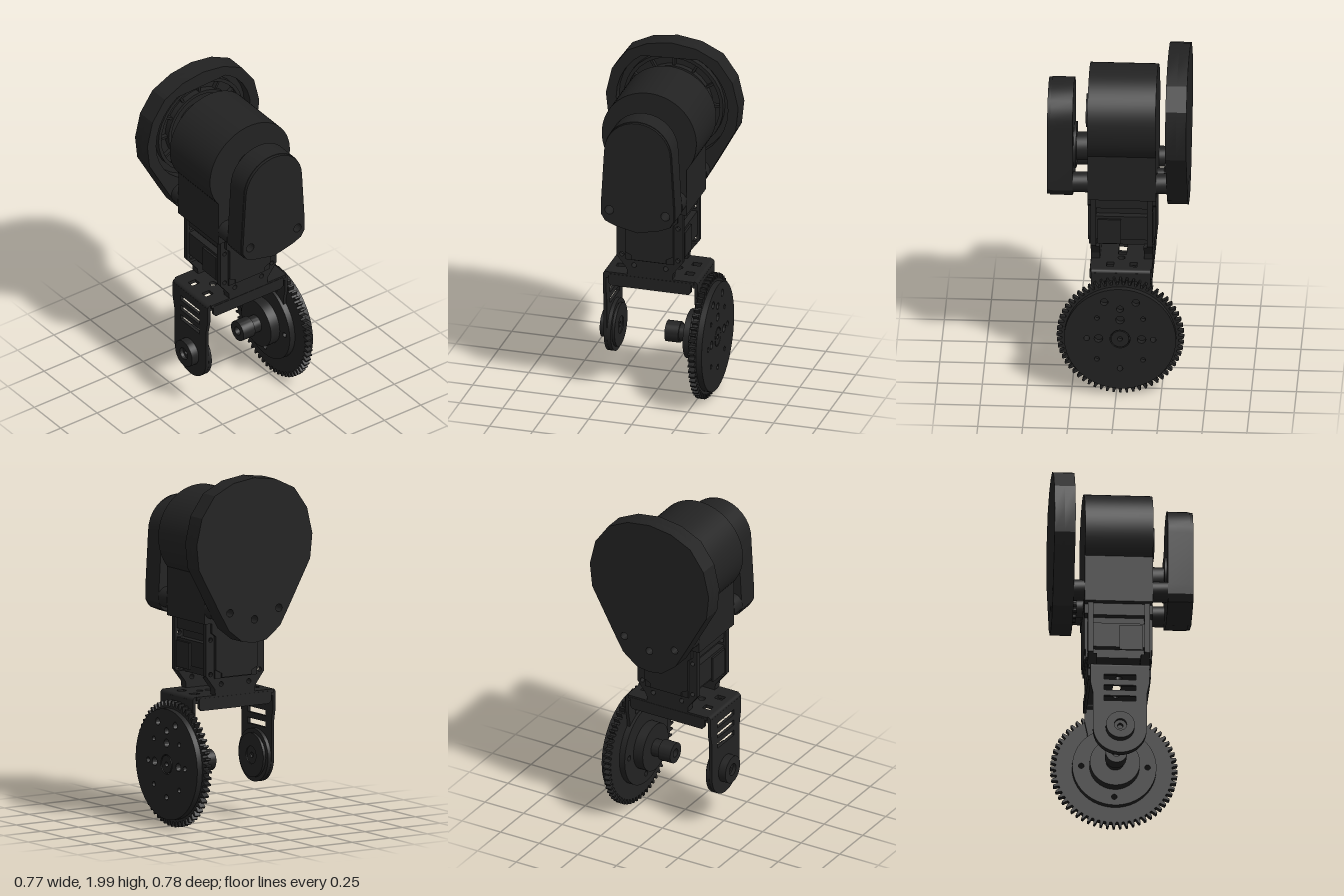
import * as THREE from 'three';
import { toCreasedNormals } from 'three/addons/utils/BufferGeometryUtils.js';

const material = new THREE.MeshStandardMaterial({ color: 0x222222 });

// Points along an arc
function arc(cx, cy, r, a0, a1, n) {
  return Array.from({ length: n + 1 }, (_, i) => {
    const a = a0 + ((a1 - a0) * i) / n;
    return [cx + r * Math.cos(a), cy + r * Math.sin(a)];
  });
}
const circle = (cx, cy, r, n = 32) => arc(cx, cy, r, 0, Math.PI * 2 * (1 - 1 / n), n - 1);
const rect = (x0, y0, x1, y1) => [[x0, y0], [x1, y0], [x1, y1], [x0, y1]];
// Right half of an outline, mirrored to the left
const mirrored = (pts) => [...pts, ...pts.slice().reverse().map(([x, y]) => [-x, y])];

export function createModel() {
  const model = new THREE.Group();
  const vec = (pts) => pts.map(([x, y]) => new THREE.Vector2(x, y));

  // Extrudes an outline with holes between two positions on an axis.
  // Outlines are (x, y) for axis z, (-z, y) for axis x and (x, -z) for axis y.
  function slab(name, outline, from, to, axis = 'z', holes = [], parent = model) {
    const shape = new THREE.Shape(vec(outline));
    holes.forEach((h) => shape.holes.push(new THREE.Path(vec(h))));
    const geo = new THREE.ExtrudeGeometry(shape, { depth: to - from, bevelEnabled: false });
    geo.translate(0, 0, from);
    if (axis === 'x') geo.rotateY(Math.PI / 2);
    if (axis === 'y') geo.rotateX(-Math.PI / 2);
    const mesh = new THREE.Mesh(toCreasedNormals(geo, 0.36), material);
    mesh.name = name;
    parent.add(mesh);
    return mesh;
  }
  const box = (name, x0, x1, y0, y1, z0, z1) => slab(name, rect(x0, y0, x1, y1), z0, z1);

  const sides = [-1, 1];
  const boltY = 1.25;
  const boltHoles = (r) => sides.map((s) => circle(s * 0.163, boltY, r, 16));

  // Main housing: round top on a narrower block
  const a = Math.asin(-0.17 / 0.275);
  slab('housing', [[-0.217, 1.165], [0.217, 1.165], ...arc(0, 1.61, 0.275, a, Math.PI - a, 48)],
    -0.215, 0.165, 'z', boltHoles(0.018));
  slab('housingBoss', circle(0, 1.615, 0.095), 0.165, 0.182);

  // Front cover
  const coverOutline = mirrored([[0, 1.125], [0.13, 1.155], [0.19, 1.18], [0.215, 1.22], [0.215, 1.28],
    ...arc(0, 1.605, 0.196, 0, Math.PI / 2, 8)].slice(1));
  coverOutline.push([0, 1.125]);
  slab('frontCover', coverOutline, 0.25, 0.375, 'z', boltHoles(0.026));
  slab('frontCoverFace', coverOutline.map(([x, y]) => [x * 0.985, 1.46 + (y - 1.46) * 0.99]),
    0.375, 0.392, 'z', boltHoles(0.026));
  slab('frontShaft', circle(0, 1.39, 0.08), 0.165, 0.25);
  slab('frontBearing', circle(0, 1.4, 0.13), 0.235, 0.25);

  // Hollow posts joining the covers to the housing
  sides.forEach((s) => {
    [[0.165, 0.25], [-0.275, -0.215]].forEach(([z0, z1]) =>
      slab('coverPost', circle(s * 0.163, boltY, 0.058), z0, z1, 'z', [circle(s * 0.163, boltY, 0.018, 16)]));
  });

  // Rear cover: faceted pear-shaped cup, open towards the housing
  const pear = [[0, 2], ...mirrored([[0.14, 1.98], [0.265, 1.92], [0.35, 1.8], [0.385, 1.65], [0.37, 1.51],
    [0.23, 1.255], [0.17, 1.15], [0.08, 1.08]])];
  pear.splice(9, 0, [0, 1.068]);
  const rearHoles = [...boltHoles(0.022), circle(0, 1.2, 0.022, 16)];
  slab('rearCoverBack', pear, -0.392, -0.335, 'z', rearHoles);
  slab('rearCoverRim', pear, -0.335, -0.275, 'z', [...rearHoles, circle(0, 1.63, 0.325, 32)]);
  [0.29, 0.22, 0.13].forEach((r) =>
    slab('rearCoverRing', circle(0, 1.63, r, 32), -0.335, -0.3, 'z', [circle(0, 1.63, r - 0.02, 32)]));
  for (let i = 0; i < 12; i++) {
    const t = (i * Math.PI) / 6, rib = new THREE.Mesh(new THREE.BoxGeometry(0.07, 0.014, 0.025), material);
    rib.name = 'rearCoverRib';
    rib.position.set(0.245 * Math.cos(t), 1.63 + 0.245 * Math.sin(t), -0.323);
    rib.rotation.z = t;
    model.add(rib);
  }
  const knurl = Array.from({ length: 48 }, (_, i) => {
    const t = (i * Math.PI) / 24, r = i % 4 < 2 ? 0.08 : 0.068;
    return [r * Math.cos(t), 1.21 + r * Math.sin(t)];
  });
  slab('rearPinion', knurl, -0.275, -0.252);
  slab('rearPinionShaft', circle(0, 1.21, 0.05), -0.252, -0.2);

  // Lower motor: core, drilled flanges, side pads and raised panels
  box('motorCore', -0.14, 0.14, 0.85, 1.17, -0.205, 0.16);
  const screwHoles = [];
  sides.forEach((s) => [1.07, 0.875].forEach((y) => screwHoles.push(circle(s * 0.163, y, 0.013, 14))));
  const flange = mirrored([[0.193, 1.17], [0.193, 0.865], [0.175, 0.845]]);
  [[0.12, 0.15], [-0.195, -0.165]].forEach(([z0, z1]) => slab('motorFlange', flange, z0, z1, 'z', screwHoles));
  const panel = mirrored([[0.165, 1.165], [0.165, 1.11], [0.14, 1.09], [0.14, 0.9], [0.1, 0.88], [0.1, 0.855]]);
  [[0.15, 0.168], [-0.213, -0.195]].forEach(([z0, z1]) =>
    slab('motorPanel', panel, z0, z1));
  sides.forEach((s) => {
    const pad = (name, x0, x1, y0, y1, z0, z1) => box(name, Math.min(s * x0, s * x1), Math.max(s * x0, s * x1), y0, y1, z0, z1);
    pad('motorSidePad', 0.13, 0.18, 0.9, 1.045, -0.165, 0.12);
    pad('motorUpperPad', 0.13, 0.18, 1.095, 1.17, -0.165, 0.12);
    pad('motorSocket', 0.18, 0.192, 0.88, 1.03, -0.02, 0.11);
  });

  // Feet that bolt the motor to the bracket
  const foot = mirrored([[0.185, 0.855], [0.135, 0.79], [0.13, 0.75]]);
  [[0.1, 0.15], [-0.195, -0.145]].forEach(([z0, z1]) =>
    slab('motorFoot', foot, z0, z1, 'z', sides.map((s) => circle(s * 0.092, 0.815, 0.014, 14))));

  // U bracket: slotted top, folded lips and two arms
  const topSlots = [];
  sides.forEach((s) => {
    topSlots.push(rect(s * 0.2 - 0.025, -0.06, s * 0.2 + 0.025, -0.02), rect(s * 0.2 - 0.025, 0.07, s * 0.2 + 0.025, 0.11));
  });
  topSlots.push(rect(-0.08, 0, 0.08, 0.045), circle(-0.12, 0.02, 0.02, 14), circle(0.12, 0.02, 0.02, 14));
  slab('bracketTop', rect(-0.255, -0.15, 0.255, 0.195), 0.735, 0.755, 'y', topSlots);
  const lip = mirrored([[0.24, 0.745], [0.24, 0.69], [0.225, 0.675]]);
  [[0.135, 0.152], [-0.197, -0.18]].forEach(([z0, z1]) => slab('bracketLip', lip, z0, z1));
  const cz = 0.022, hubY = 0.36; // hub centre, as (-z, y)
  const armOutline = [[cz + 0.165, 0.738], [cz - 0.165, 0.738], [cz - 0.165, 0.64], [cz - 0.15, 0.57],
    ...arc(cz, hubY, 0.15, Math.PI, Math.PI * 2, 24), [cz + 0.15, 0.57], [cz + 0.165, 0.64]];
  const armSlots = [0.655, 0.59, 0.525].map((y) => rect(cz - 0.09, y, cz + 0.09, y + 0.032));
  sides.forEach((s) => {
    const x = s * 0.266;
    slab('bracketArm', armOutline, x - 0.009, x + 0.009, 'x', armSlots);
    const bend = new THREE.Mesh(new THREE.CylinderGeometry(0.02, 0.02, 0.33, 16), material);
    bend.name = 'bracketBend';
    bend.rotation.x = Math.PI / 2;
    bend.position.set(s * 0.255, 0.735, -cz);
    model.add(bend);
  });

  const hub = (r, n = 40) => circle(cz, hubY, r, n);
  const hubHoles = (radius, r, count, phase = 0) => Array.from({ length: count }, (_, i) => {
    const t = phase + (i * Math.PI * 2) / count;
    return circle(cz + radius * Math.cos(t), hubY + radius * Math.sin(t), r, 14);
  });

  // Idler horn on the right arm
  slab('idlerDisc', hub(0.15), -0.256, -0.235, 'x', hubHoles(0.115, 0.012, 8));
  slab('idlerInnerDisc', hub(0.125), -0.235, -0.22, 'x', [hub(0.05)]);
  slab('idlerHub', hub(0.08), -0.32, -0.25, 'x', [hub(0.035)]);
  slab('idlerCore', hub(0.055), -0.3, -0.225, 'x', [hub(0.016, 16)]);

  // Drive gear on the left arm
  const teeth = 60, step = (Math.PI * 2) / teeth, gearOutline = [];
  for (let i = 0; i < teeth; i++) {
    [[-0.32, 0.325], [-0.14, 0.355], [0.14, 0.355], [0.32, 0.325]].forEach(([t, r]) => {
      const ang = (i + t) * step;
      gearOutline.push([cz + r * Math.cos(ang), hubY + r * Math.sin(ang)]);
    });
  }
  const through = hubHoles(0.185, 0.016, 4, 0).filter((_, i) => i !== 1);
  slab('gearBackDisc', hub(0.235, 48), 0.24, 0.276, 'x', through);
  slab('gear', gearOutline, 0.275, 0.31, 'x', through);
  slab('gearFace', hub(0.312, 64), 0.31, 0.343, 'x', [
    ...through, ...hubHoles(0.182, 0.014, 4, Math.PI / 4), hub(0.056, 32),
    circle(cz - 0.12, hubY, 0.024, 16), circle(cz + 0.12, hubY, 0.024, 16), circle(cz, hubY + 0.12, 0.024, 16),
    circle(cz - 0.088, 0.59, 0.021, 16), circle(cz + 0.088, 0.59, 0.021, 16), circle(cz, 0.548, 0.02, 16)]);
  slab('gearCap', hub(0.05, 32), 0.31, 0.343, 'x', [hub(0.014, 14)]);
  slab('gearShoulder', hub(0.14), 0.18, 0.24, 'x');
  slab('gearNeck', hub(0.05), 0.13, 0.18, 'x');
  slab('gearShaft', hub(0.06), 0.05, 0.13, 'x', [hub(0.025, 20)]);

  return model;
}
